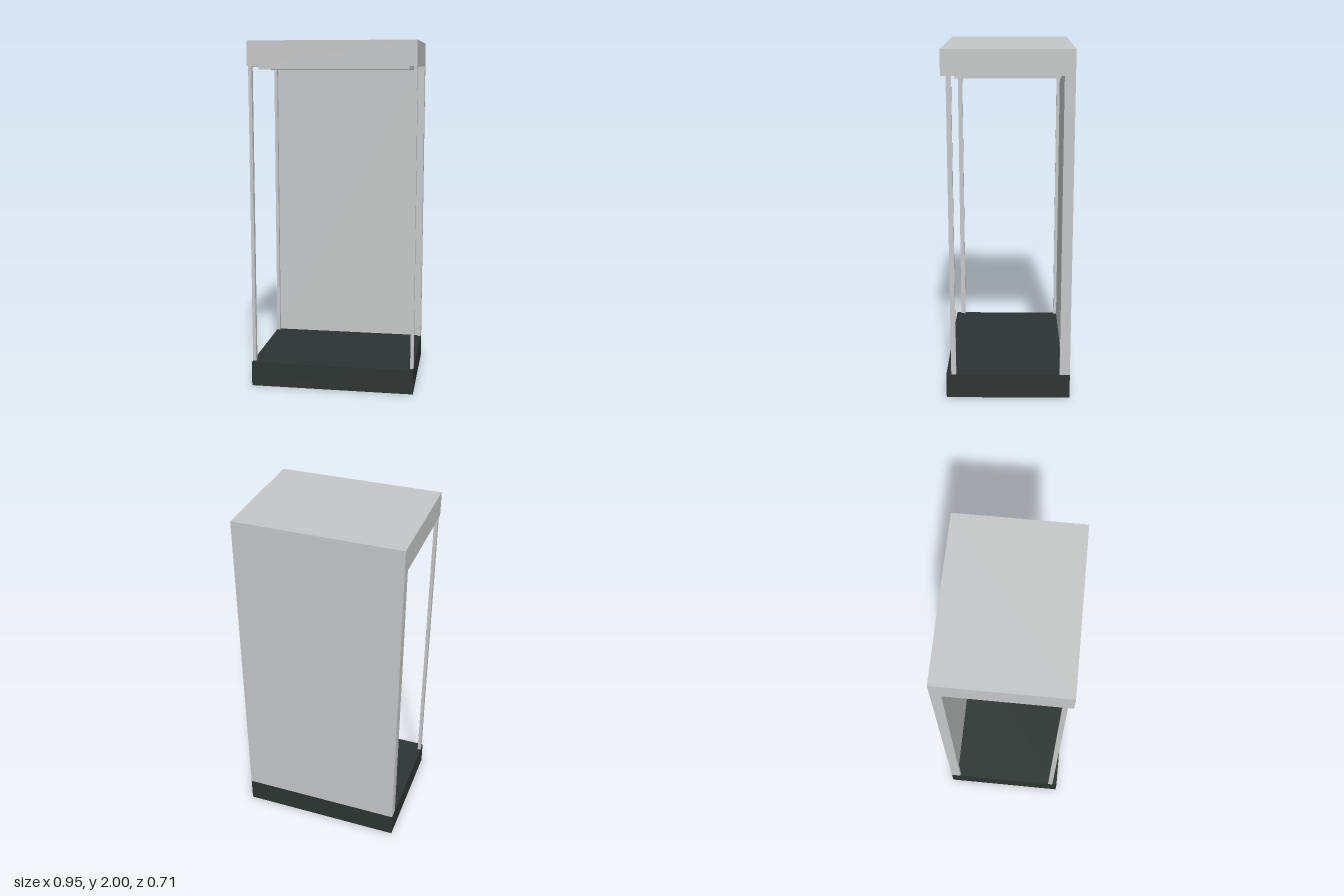
import * as THREE from 'three';

export function createModel() {
  const model = new THREE.Group();
  const lightGrey = new THREE.MeshStandardMaterial({ color: 0xc6c7c8 });
  lightGrey.name = 'light grey';
  const charcoal = new THREE.MeshStandardMaterial({ color: 0x2c3533 });
  charcoal.name = 'charcoal';

  // Box given by its minimum and maximum corners
  function box(name, [x0, y0, z0], [x1, y1, z1], material) {
    const mesh = new THREE.Mesh(new THREE.BoxGeometry(x1 - x0, y1 - y0, z1 - z0), material);
    mesh.position.set((x0 + x1) / 2, (y0 + y1) / 2, (z0 + z1) / 2);
    mesh.name = name;
    model.add(mesh);
  }

  const X = 0.474, Z = 0.357, floor = 0.143, ceiling = 1.86, inner = 0.455;

  box('base', [-X, 0, -Z], [X, floor, Z], charcoal);
  box('canopy', [-X, ceiling, -Z], [X, 2, Z], lightGrey);
  box('ceilingPanel', [-0.425, 1.841, -0.283], [0.425, ceiling, 0.285], lightGrey);

  // Back wall, slightly recessed between its side stiles
  box('backPanel', [-inner, floor, -Z], [inner, ceiling, -0.318], lightGrey);

  for (const [side, x0, x1] of [['left', inner, X], ['right', -X, -inner]]) {
    box(side + 'BackStile', [x0, floor, -Z], [x1, ceiling, -0.298], lightGrey);
    box(side + 'FrontPost', [x0, floor, 0.3], [x1, ceiling, 0.328], lightGrey);
  }
  return model;
}
